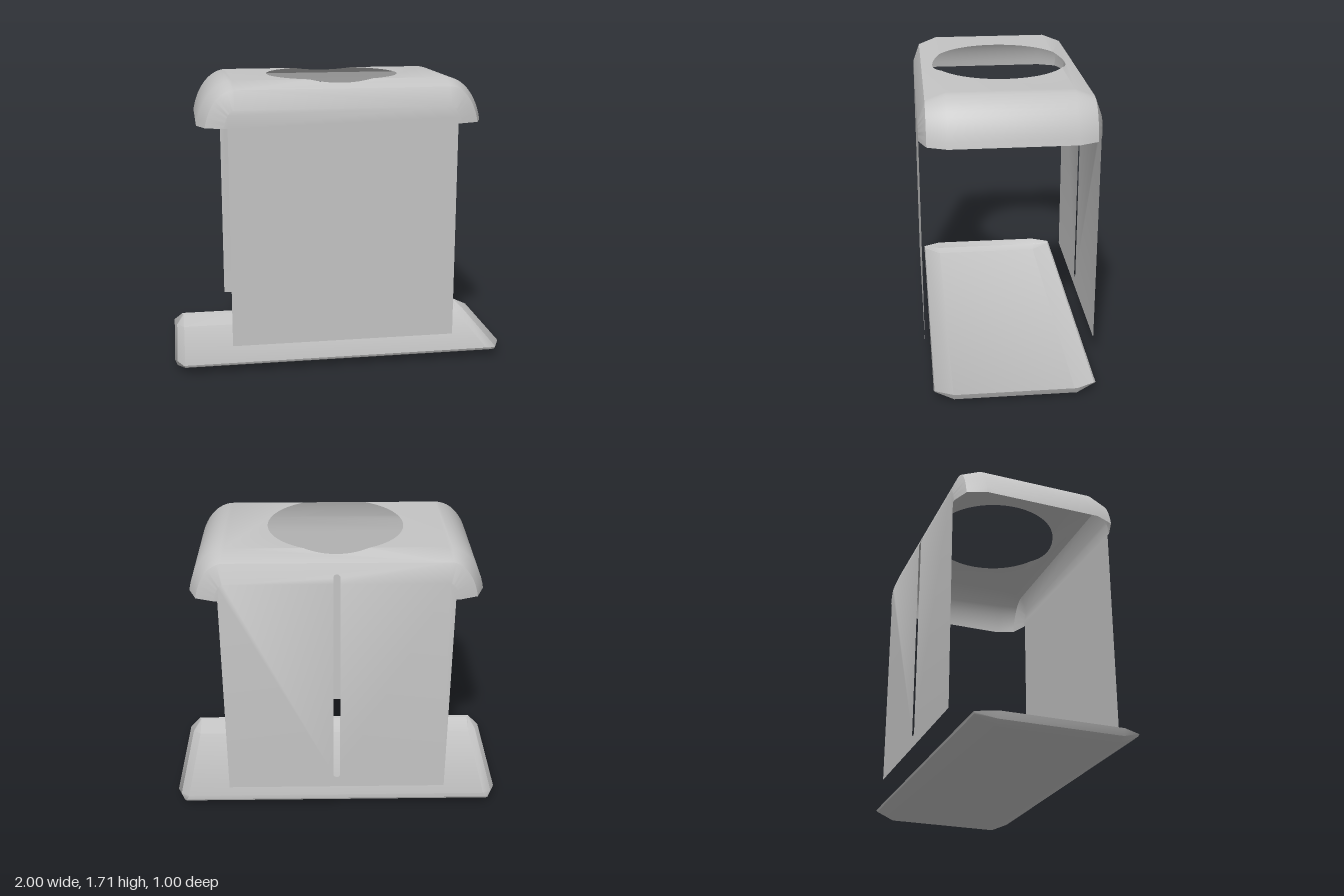
import * as THREE from 'three';
import { mergeGeometries, toCreasedNormals } from 'three/addons/utils/BufferGeometryUtils.js';

const CREASE = 0.6;
const CORNER_X = 0.62; // where the flat roof turns into the rounded ends
const EAVE_Y = 1.46;
const SLOT_R = 0.02;
const HOLE_R = 0.395;

// Canopy cross-sections: depth, half width at the eave, crown height
const RIM = { z: 0.5, w: 0.68, top: 1.56 };
const EDGE = { z: 0.46, w: 0.785, top: 1.668 };
const CROWN = { z: 0.35, w: 0.83, top: 1.71 };

// Rounded shoulder of a section, from the crown down to the eave
function shoulder(s, side) {
  const a0 = THREE.MathUtils.degToRad(15), n = 12, pts = [];
  for (let i = 0; i <= n; i++) {
    const a = Math.PI / 2 + (a0 - Math.PI / 2) * (i / n);
    const x = CORNER_X + (s.w - CORNER_X) * Math.cos(a) / Math.cos(a0);
    const y = EAVE_Y + (s.top - EAVE_Y) * (Math.sin(a) - Math.sin(a0)) / (1 - Math.sin(a0));
    pts.push([side * x, y]);
  }
  return pts;
}

// Sheet stretched over rows of points
function loft(rows) {
  const pos = [];
  for (let r = 0; r < rows.length - 1; r++) {
    for (let c = 0; c < rows[r].length - 1; c++) {
      const [a, b, d, e] = [rows[r][c], rows[r][c + 1], rows[r + 1][c], rows[r + 1][c + 1]];
      pos.push(...a, ...b, ...e, ...a, ...e, ...d);
    }
  }
  const g = new THREE.BufferGeometry();
  g.setAttribute('position', new THREE.Float32BufferAttribute(pos, 3));
  return g;
}

// Flat shape whose points are moved by a rule (u, v) -> [x, y, z]
function sheet(shape, rule) {
  const g = new THREE.ShapeGeometry(shape, 48).toNonIndexed();
  const p = g.attributes.position;
  for (let i = 0; i < p.count; i++) p.setXYZ(i, ...rule(p.getX(i), p.getY(i)));
  g.deleteAttribute('uv');
  g.deleteAttribute('normal');
  return g;
}

// Join sheets, face every triangle away from a centre and smooth the gentle bends
function skin(parts, centre) {
  const g = mergeGeometries(parts);
  const p = g.attributes.position;
  const [a, b, c] = [0, 1, 2].map(() => new THREE.Vector3());
  for (let i = 0; i < p.count; i += 3) {
    [a, b, c].forEach((v, k) => v.fromBufferAttribute(p, i + k));
    const n = b.clone().sub(a).cross(c.clone().sub(a));
    const out = a.clone().add(b).add(c).divideScalar(3).sub(centre);
    if (n.dot(out) < 0) {
      p.setXYZ(i + 1, c.x, c.y, c.z);
      p.setXYZ(i + 2, b.x, b.y, b.z);
    }
  }
  return toCreasedNormals(g, CREASE);
}

// Roof with round opening and rounded ends
function canopy() {
  const parts = [];
  const roofY = (z) => CROWN.top - Math.max(0, Math.abs(z) - CROWN.z) * (CROWN.top - EDGE.top) / (EDGE.z - CROWN.z);
  const rule = (x, z) => [x, roofY(z), z];
  const a = Math.asin(CROWN.z / HOLE_R);
  const hx = HOLE_R * Math.cos(a);
  for (const s of [1, -1]) {
    const flank = new THREE.Shape();
    flank.moveTo(hx, -CROWN.z);
    flank.lineTo(CORNER_X, -CROWN.z);
    flank.lineTo(CORNER_X, CROWN.z);
    flank.lineTo(hx, CROWN.z);
    flank.absarc(0, 0, HOLE_R, a, -a, true);
    parts.push(sheet(flank, (x, z) => rule(s * x, z)));

    const slope = new THREE.Shape();
    slope.moveTo(hx, CROWN.z);
    slope.lineTo(CORNER_X, CROWN.z);
    slope.lineTo(CORNER_X, EDGE.z);
    slope.lineTo(-CORNER_X, EDGE.z);
    slope.lineTo(-CORNER_X, CROWN.z);
    slope.lineTo(-hx, CROWN.z);
    slope.absarc(0, 0, HOLE_R, Math.PI - a, a, true);
    parts.push(sheet(slope, (x, z) => rule(x, s * z)));

    const rows = [[EDGE, 1], [CROWN, 1], [CROWN, -1], [EDGE, -1]].map(
      ([sec, k]) => shoulder(sec, s).map(([x, y]) => [x, y, k * sec.z]));
    parts.push(loft(rows));
  }
  return skin(parts, new THREE.Vector3(0, 1.2, 0));
}

// Upright panel with the bevelled band that meets the roof edge
function wall(side, slotted) {
  const zAt = (y) => side * (RIM.z - Math.max(0, y - RIM.top) * (RIM.z - EDGE.z) / (EDGE.top - RIM.top));
  const rule = (x, y) => [x, y, zAt(y)];
  const parts = [];
  const slotLow = 0.25, slotHigh = 1.61;

  const face = new THREE.Shape();
  face.moveTo(-0.66, 0.18);
  if (slotted) {
    // open-topped slot, continued in the band above
    face.lineTo(0.66, 0.18);
    face.lineTo(0.66, EAVE_Y);
    shoulder(RIM, 1).reverse().forEach(([x, y]) => face.lineTo(x, y));
    face.lineTo(SLOT_R, RIM.top);
    face.lineTo(SLOT_R, slotLow + SLOT_R);
    face.absarc(0, slotLow + SLOT_R, SLOT_R, 0, -Math.PI, true);
    face.lineTo(-SLOT_R, RIM.top);
  } else {
    face.lineTo(0.66, 0.18);
    face.lineTo(0.66, EAVE_Y);
    shoulder(RIM, 1).reverse().forEach(([x, y]) => face.lineTo(x, y));
  }
  shoulder(RIM, -1).forEach(([x, y]) => face.lineTo(x, y));
  face.lineTo(-0.66, EAVE_Y);
  parts.push(sheet(face, rule));

  // band: straight middle, then the curved shoulders
  const band = new THREE.Shape();
  band.moveTo(CORNER_X, RIM.top);
  band.lineTo(CORNER_X, EDGE.top);
  band.lineTo(-CORNER_X, EDGE.top);
  band.lineTo(-CORNER_X, RIM.top);
  if (slotted) {
    band.lineTo(-SLOT_R, RIM.top);
    band.lineTo(-SLOT_R, slotHigh - SLOT_R);
    band.absarc(0, slotHigh - SLOT_R, SLOT_R, Math.PI, 0, true);
    band.lineTo(SLOT_R, RIM.top);
  }
  parts.push(sheet(band, rule));
  for (const s of [1, -1]) {
    parts.push(loft([RIM, EDGE].map((sec) => shoulder(sec, s).map(([x, y]) => [x, y, side * sec.z]))));
  }
  return skin(parts, new THREE.Vector3(0, 1, 0));
}

// Shallow open tray
function tray() {
  const section = (z, half) => [...half.map(([x, y]) => [-x, y, z]), ...half.map(([x, y]) => [x, y, z]).reverse()];
  const lip = [[0.95, 0.06], [0.947, 0.06], [0.94, 0.06]];
  const low = [[0.95, 0.06], [0.947, 0.055], [0.94, 0.048]];
  const deep = [[1, 0.06], [0.985, 0.022], [0.94, 0]];
  return skin([loft([
    section(0.463, lip), section(0.458, low), section(0.35, deep),
    section(-0.35, deep), section(-0.458, low), section(-0.463, lip),
  ])], new THREE.Vector3(0, 0.3, 0));
}

export function createModel() {
  const model = new THREE.Group();
  const grey = new THREE.MeshStandardMaterial({ color: 0xc4c4c4, side: THREE.DoubleSide });
  grey.name = 'light grey';
  const add = (name, geometry) => {
    const mesh = new THREE.Mesh(geometry, grey);
    mesh.name = name;
    model.add(mesh);
  };
  add('canopy', canopy());
  add('frontWall', wall(1, false));
  add('backWall', wall(-1, true));
  add('tray', tray());
  return model;
}
